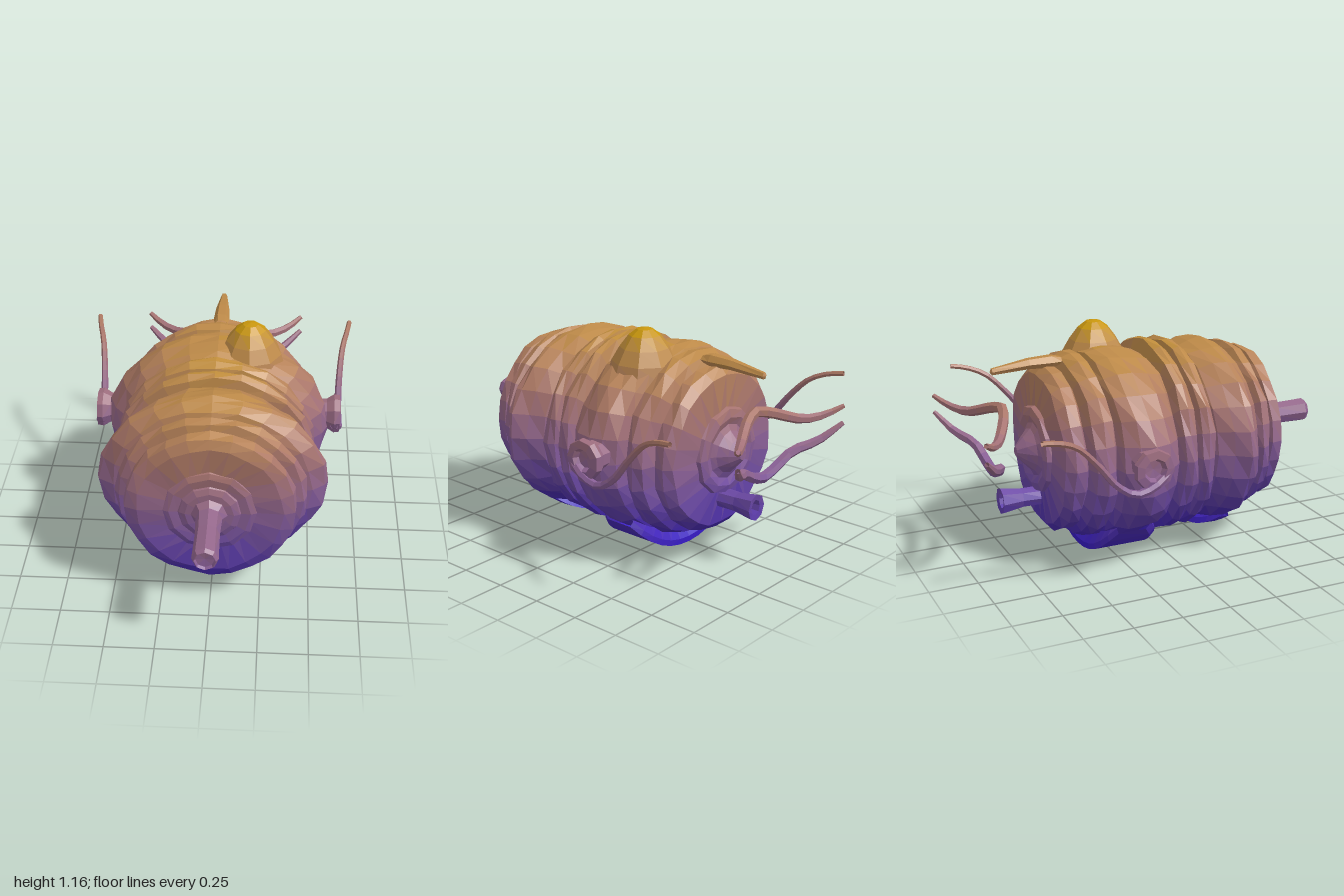
import * as THREE from 'three';

const CY = 0.57; // height of the body axis
const BANDS = 28;

// Height gradient: violet at the base to gold at the top
const STOPS = [[0, 0x3418c8], [0.2, 0x4a2cae], [0.4, 0x7450a4], [0.6, 0x92668c], [0.8, 0xa8746c], [1, 0xba8650], [1.16, 0xc8960c]];
function colorAt(y) {
  let i = 0;
  while (i < STOPS.length - 2 && y > STOPS[i + 1][0]) i++;
  const [y0, c0] = STOPS[i], [y1, c1] = STOPS[i + 1];
  const t = THREE.MathUtils.clamp((y - y0) / (y1 - y0), 0, 1);
  return new THREE.Color(c0).lerp(new THREE.Color(c1), t);
}
const materials = Array.from({ length: BANDS }, (_, i) => new THREE.MeshStandardMaterial({
  color: colorAt((i + 0.5) / BANDS * 1.18), flatShading: true, side: THREE.DoubleSide,
}));

// Splits a placed geometry into height bands, one colour each
function part(name, geometry) {
  const group = new THREE.Group();
  group.name = name;
  const p = (geometry.index ? geometry.toNonIndexed() : geometry).attributes.position;
  const bands = new Map();
  for (let i = 0; i < p.count; i += 3) {
    const y = (p.getY(i) + p.getY(i + 1) + p.getY(i + 2)) / 3;
    const b = THREE.MathUtils.clamp(Math.floor(y / 1.18 * BANDS), 0, BANDS - 1);
    if (!bands.has(b)) bands.set(b, []);
    for (let k = 0; k < 3; k++) bands.get(b).push(p.getX(i + k), p.getY(i + k), p.getZ(i + k));
  }
  for (const [b, list] of bands) {
    const g = new THREE.BufferGeometry();
    g.setAttribute('position', new THREE.Float32BufferAttribute(list, 3));
    g.computeVertexNormals();
    const mesh = new THREE.Mesh(g, materials[b]);
    mesh.name = name + 'Band';
    group.add(mesh);
  }
  return group;
}

// Grid surface from a rule; the second direction runs clockwise seen from outside
function surface(rule, nu, nv) {
  const pos = [], idx = [];
  for (let i = 0; i <= nu; i++) for (let j = 0; j <= nv; j++) pos.push(...rule(i, j));
  for (let i = 0; i < nu; i++) for (let j = 0; j < nv; j++) {
    const a = i * (nv + 1) + j, c = a + nv + 1;
    idx.push(a, c, a + 1, a + 1, c, c + 1);
  }
  const g = new THREE.BufferGeometry();
  g.setAttribute('position', new THREE.Float32BufferAttribute(pos, 3));
  g.setIndex(idx);
  return g;
}

// Elliptical rings [z, rx, ry, cy] joined from front to back, with a slight wobble
function loft(rings, sides, wobble = 0) {
  return surface((i, j) => {
    const [z, rx, ry = rx, cy = CY] = rings[i];
    const k = j % sides, a = k / sides * Math.PI * 2;
    const w = 1 + wobble * Math.sin(k * 2.3 + i * 1.9);
    const dz = wobble * 0.45 * Math.sin(k * 1.7 + i * 0.6) * Math.min(1, rx * 3);
    return [rx * w * Math.cos(a), cy + ry * w * Math.sin(a), z + dz];
  }, rings.length - 1, sides);
}

// Tapering bent rod through a few points
function whisker(points, radius, taper) {
  const curve = new THREE.CatmullRomCurve3(points.map((p) => new THREE.Vector3(...p)));
  const n = 16, sides = 6;
  const g = new THREE.TubeGeometry(curve, n, radius, sides, false);
  const p = g.attributes.position, v = new THREE.Vector3();
  for (let i = 0; i < p.count; i++) {
    const t = Math.floor(i / (sides + 1)) / n;
    const c = curve.getPointAt(t);
    v.fromBufferAttribute(p, i).sub(c).multiplyScalar(taper(t)).add(c);
    p.setXYZ(i, v.x, v.y, v.z);
  }
  return g;
}

// Curved pad under the body: section(u) returns a closed list of [z, radius]
function pad(halfAngle, section) {
  const n = 12, count = section(0).length;
  return surface((i, j) => {
    const u = i / n * 2 - 1, a = u * halfAngle;
    const [z, r] = section(u)[j % count];
    return [r * Math.sin(a), CY - r * Math.cos(a), z];
  }, n, count);
}

export function createModel() {
  const model = new THREE.Group();

  // Ribbed barrel body
  model.add(part('body', loft([
    [0.62, 0.2], [0.625, 0.36, 0.36], [0.605, 0.42, 0.41], [0.55, 0.425, 0.42], [0.53, 0.38, 0.38],
    [0.515, 0.46, 0.44], [0.47, 0.48, 0.45], [0.44, 0.43, 0.41],
    [0.425, 0.5, 0.45], [0.375, 0.57, 0.475], [0.34, 0.58, 0.485], [0.27, 0.535, 0.475], [0.2, 0.485, 0.45], [0.185, 0.45, 0.43],
    [0.175, 0.505, 0.485], [0.14, 0.52, 0.5], [0.11, 0.505, 0.49], [0.095, 0.455, 0.44],
    [0.08, 0.505, 0.49], [0.045, 0.52, 0.51], [0.01, 0.51, 0.505], [-0.01, 0.46, 0.44],
    [-0.03, 0.5, 0.45], [-0.1, 0.56, 0.475], [-0.19, 0.59, 0.49], [-0.26, 0.57, 0.49], [-0.32, 0.52, 0.47], [-0.335, 0.45, 0.44],
    [-0.35, 0.48, 0.475], [-0.4, 0.5, 0.48], [-0.45, 0.475, 0.455], [-0.47, 0.4, 0.4],
    [-0.485, 0.42, 0.43], [-0.54, 0.425, 0.43], [-0.58, 0.39, 0.39], [-0.59, 0.2], [-0.59, 0],
  ], 24, 0.012), ));

  // Stepped front hub and long nose pipe
  model.add(part('frontHub', loft([
    [0.65, 0.05], [0.65, 0.12], [0.638, 0.15], [0.63, 0.155], [0.635, 0.2], [0.625, 0.23], [0.6, 0.24],
  ], 12, 0.008)));
  model.add(part('nosePipe', loft([
    [0.98, 0], [0.985, 0.045], [1.0, 0.052], [0.98, 0.064], [0.8, 0.06], [0.68, 0.065], [0.65, 0.09], [0.62, 0.11],
  ], 8)));

  // Rear hub with a blunt cone
  model.add(part('rearHub', loft([
    [-0.58, 0.23], [-0.61, 0.22], [-0.62, 0.18], [-0.605, 0.14], [-0.62, 0.11], [-0.66, 0.07], [-0.7, 0.025], [-0.7, 0],
  ], 12, 0.01)));

  // Flared exhaust pipe low at the back
  const py = 0.315;
  model.add(part('exhaustPipe', loft([
    [-0.56, 0.06, 0.05, py], [-0.68, 0.05, 0.052, py], [-0.79, 0.065, 0.07, py],
    [-0.785, 0.035, 0.04, py], [-0.7, 0.03, 0.035, py], [-0.7, 0, 0, py],
  ], 8)));

  // Tapered spike along the top
  model.add(part('topSpike', loft([
    [-0.45, 0.035, 0.02, 1.02], [-0.5, 0.042, 0.034, 1.02], [-0.62, 0.036, 0.028, 1.02],
    [-0.81, 0.016, 0.018, 1.0], [-0.82, 0, 0, 1.0],
  ], 6)));

  // Off-centre bump on top
  const bump = new THREE.LatheGeometry(
    [[0.19, 0.92], [0.165, 1.0], [0.125, 1.07], [0.08, 1.13], [0.04, 1.16], [0, 1.168]].map((p) => new THREE.Vector2(...p)), 9);
  bump.translate(0.165, 0, -0.2);
  model.add(part('topBump', bump));

  for (const s of [1, -1]) {
    const side = s > 0 ? 'left' : 'right';
    // Dished side knob
    const knob = new THREE.LatheGeometry(
      [[0.075, 0.5], [0.08, 0.58], [0.105, 0.62], [0.1, 0.65], [0.06, 0.655], [0.045, 0.625], [0, 0.62]].map((p) => new THREE.Vector2(...p)), 9);
    knob.rotateZ(-s * Math.PI / 2);
    knob.translate(0, 0.61, -0.225);
    model.add(part(side + 'Knob', knob));
    // Side whisker sweeping under the knob and back
    model.add(part(side + 'SideWhisker', whisker([
      [0.62, 0.6, -0.13], [0.645, 0.545, -0.2], [0.65, 0.505, -0.32], [0.65, 0.56, -0.42],
      [0.655, 0.68, -0.52], [0.67, 0.79, -0.63], [0.695, 0.835, -0.73], [0.71, 0.85, -0.815],
    ].map(([x, y, z]) => [s * x, y, z]), 0.022, (t) => 1.05 - 0.45 * t)));
  }

  // Two swept whiskers behind the rear hub
  const vShape = (half) => [...half.slice(1).reverse().map(([x, y, z]) => [-x, y, z]), ...half];
  const ends = (t) => 1.1 - 0.6 * Math.abs(t * 2 - 1) ** 3;
  model.add(part('upperRearWhisker', whisker(vShape(
    [[0, 0.81, -0.765], [0.1, 0.785, -0.79], [0.26, 0.73, -0.87], [0.36, 0.74, -0.93], [0.44, 0.78, -0.99]]), 0.025, ends)));
  model.add(part('lowerRearWhisker', whisker(vShape(
    [[0, 0.485, -0.825], [0.1, 0.515, -0.83], [0.2, 0.57, -0.85], [0.33, 0.61, -0.92], [0.44, 0.69, -0.99]]), 0.025, ends)));

  // Wide pad under the rear and thin scoop under the front
  model.add(part('rearPad', pad(0.83, (u) => {
    const e = u * u * u * u;
    const f = -0.04 - 0.08 * e, b = -0.37 + 0.06 * e, r = 0.562 - 0.02 * u * u;
    return [[f, 0.45], [f, r - 0.03], [f - 0.04, r], [b, r], [b, r - 0.03], [b + 0.06, 0.45]];
  })));
  model.add(part('frontScoop', pad(0.5, (u) => {
    const e = 0.03 * u * u, k = 0.28 + 0.08 * u * u;
    return [[0.5, 0.4], [0.47, 0.46 - e], [0.4, 0.52 - e], [k + 0.04, 0.543 - e], [k - 0.015, 0.54 - e], [k, 0.51 - e], [0.38, 0.47 - e], [0.44, 0.4]];
  })));

  return model;
}
